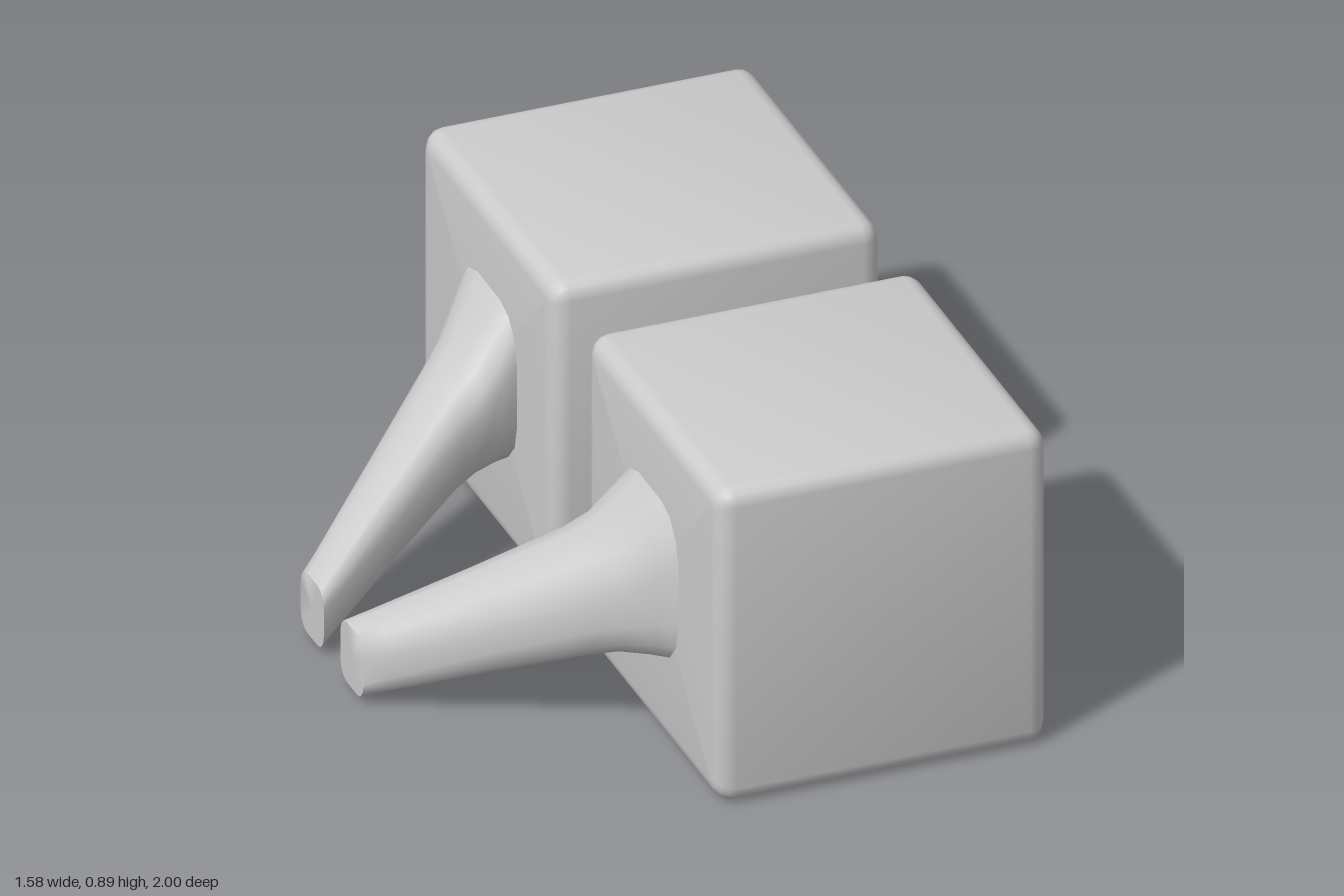
import * as THREE from 'three';
import { toCreasedNormals } from 'three/addons/utils/BufferGeometryUtils.js';

const material = new THREE.MeshStandardMaterial({ color: 0xcccccc });

// Loft rounded-rectangle rings along x.
// ring: [x, centreY, centreZ, halfY, halfZ, cornerY, cornerZ]
function loft(rings, crease, steps = 4) {
  const n = 4 * (steps + 1), pos = [], index = [];
  for (const [x, cy, cz, hy, hz, ry, rz] of rings) {
    for (let q = 0; q < 4; q++) {
      const sz = q === 0 || q === 3 ? 1 : -1, sy = q < 2 ? 1 : -1;
      for (let k = 0; k <= steps; k++) {
        const t = (q + k / steps) * Math.PI / 2;
        pos.push(x, cy + sy * (hy - ry) + ry * Math.sin(t), cz + sz * (hz - rz) + rz * Math.cos(t));
      }
    }
  }
  const empty = (i) => rings[i][3] === 0;
  for (let i = 0; i < rings.length - 1; i++) {
    for (let j = 0; j < n; j++) {
      const a = i * n + j, b = i * n + (j + 1) % n;
      if (!empty(i)) index.push(a, a + n, b);
      if (!empty(i + 1)) index.push(b, a + n, b + n);
    }
  }
  const g = new THREE.BufferGeometry();
  g.setAttribute('position', new THREE.Float32BufferAttribute(pos, 3));
  g.setIndex(index);
  return toCreasedNormals(g, crease);
}

function add(parent, name, geometry) {
  const mesh = new THREE.Mesh(geometry, material);
  mesh.name = name;
  parent.add(mesh);
  return mesh;
}

// Rounded block with a recessed face on +x; profile is [x, inset, corner radius]
function blockGeometry() {
  const cy = 0.448, cz = 0.555, half = 0.444, r = 0.05, profile = [];
  const arc = [0, 1, 2, 3, 4].map((k) => k / 4 * Math.PI / 2);
  for (const t of arc) profile.push([-0.11 - r * Math.cos(t), r * (1 - Math.sin(t)), 0.015 + 0.03 * Math.sin(t)]);
  for (const t of arc) profile.push([0.67 + r * Math.sin(t), r * (1 - Math.cos(t)), 0.015 + 0.03 * Math.cos(t)]);
  profile.push([0.72, 0.066, 0.02], [0.705, 0.077, 0.025], [0.635, 0.088, 0.035]);
  const rings = profile.map(([x, d, c]) => [x, cy, cz, half - d, half - d, c, c]);
  return loft([[-0.16, cy, cz, 0, 0, 0, 0], ...rings, [0.635, cy, cz, 0, 0, 0, 0]], 0.7);
}

// Tapered arm with a flared root; sections are [x, y0, y1, z0, z1, roundness]
function armGeometry() {
  const sections = [
    [-0.79, 0.02, 0.19, 0.055, 0.21, 0.55],
    [-0.74, 0.04, 0.225, 0.08, 0.25, 0.65],
    [-0.52, 0.133, 0.375, 0.195, 0.43, 0.75],
    [-0.32, 0.215, 0.512, 0.3, 0.59, 0.75],
    [-0.26, 0.238, 0.555, 0.32, 0.64, 0.7],
    [-0.2, 0.243, 0.63, 0.338, 0.695, 0.65],
    [-0.15, 0.243, 0.69, 0.35, 0.74, 0.6],
  ];
  const rings = sections.map(([x, y0, y1, z0, z1, k]) => {
    const hy = (y1 - y0) / 2, hz = (z1 - z0) / 2;
    return [x, (y0 + y1) / 2, (z0 + z1) / 2, hy, hz, hy * k, hz * k];
  });
  return loft([[-0.79, 0.105, 0.132, 0, 0, 0, 0], ...rings], 0.9, 3);
}

// Rounded stud rising from the recess floor
function studGeometry() {
  const profile = [[0.098, 0], [0.096, 0.045], [0.082, 0.085], [0.058, 0.12], [0.027, 0.148], [0, 0.157]];
  const g = new THREE.LatheGeometry(profile.map(([r, y]) => new THREE.Vector2(r, y)), 10);
  return g.rotateZ(-Math.PI / 2);
}

export function createModel() {
  const model = new THREE.Group();
  model.name = 'blockPair';
  const block = blockGeometry(), arm = armGeometry(), stud = studGeometry();
  for (const side of [1, -1]) {
    const half = new THREE.Group();
    half.name = side > 0 ? 'frontUnit' : 'backUnit';
    half.scale.z = side;
    add(half, 'block', block);
    add(half, 'arm', arm);
    // Two-by-two studs
    for (const y of [0.307, 0.612]) {
      for (const z of [0.37, 0.73]) add(half, 'stud', stud).position.set(0.633, y, z);
    }
    model.add(half);
  }
  return model;
}
